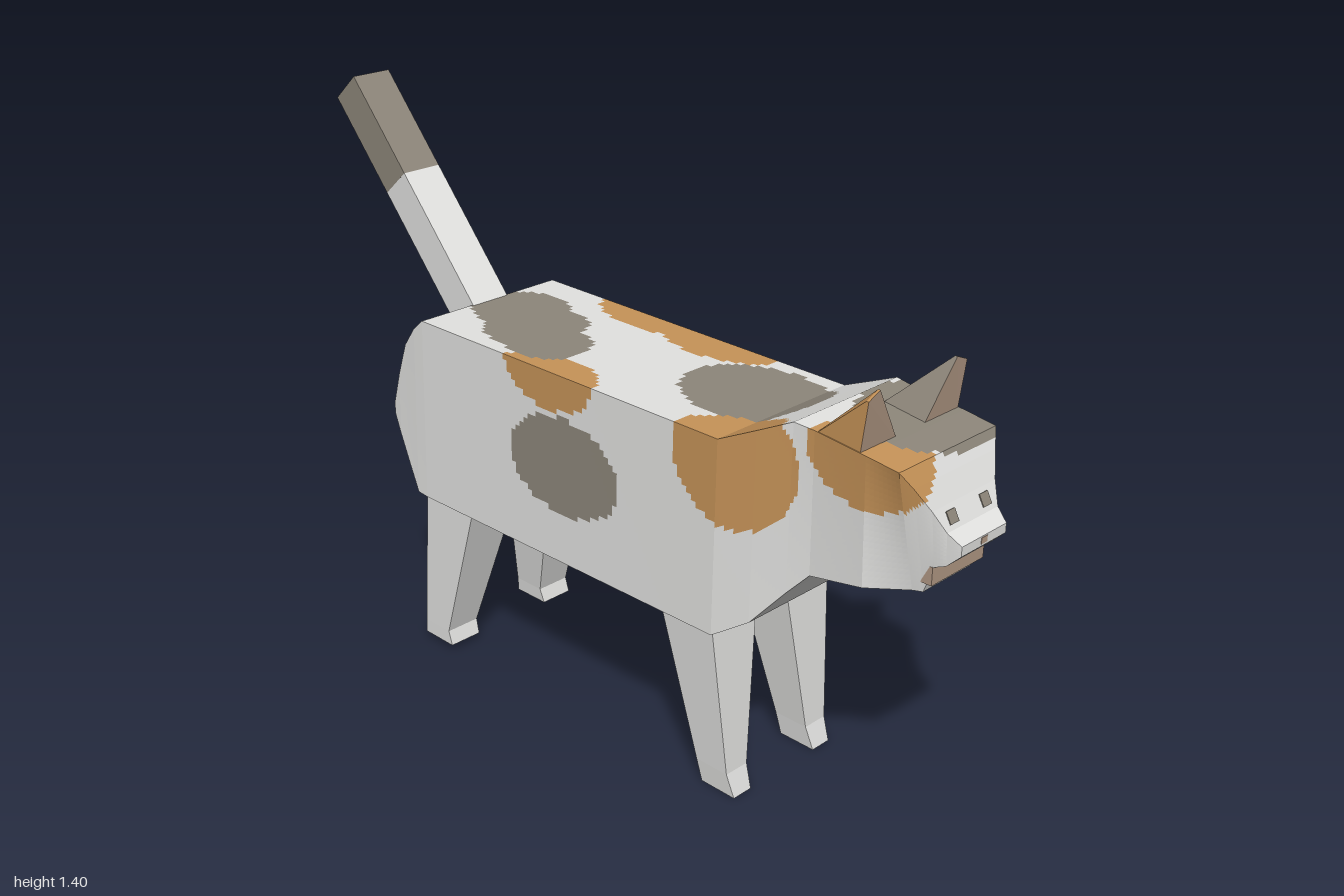
import * as THREE from 'three';

const material = (name, color) => {
  const m = new THREE.MeshStandardMaterial({ color, flatShading: true });
  m.name = name;
  return m;
};

// Lofts four-cornered rings into a closed, flat-faced solid. Each face is split
// into cells no longer than `cell`, and pick(point, face) chooses its material.
function loft(name, rings, materials, pick = () => 0, cell = Infinity) {
  const buckets = materials.map(() => []);
  const quad = (a, b, c, d, face) => {
    const steps = (p, q, r, s) => Math.max(1, Math.ceil(Math.max(p.distanceTo(q), r.distanceTo(s)) / cell));
    const nu = steps(a, b, d, c), nv = steps(a, d, b, c);
    const at = (i, j) => a.clone().lerp(b, i / nu).lerp(d.clone().lerp(c, i / nu), j / nv);
    for (let i = 0; i < nu; i++) for (let j = 0; j < nv; j++) {
      const p = at(i, j), q = at(i + 1, j), r = at(i + 1, j + 1), s = at(i, j + 1);
      const out = buckets[pick(at(i + 0.5, j + 0.5), face)];
      for (const v of [p, q, r, p, r, s]) out.push(v.x, v.y, v.z);
    }
  };
  for (let i = 0; i < rings.length - 1; i++) {
    const s = rings[i], t = rings[i + 1];
    for (let k = 0; k < 4; k++) quad(s[k], t[k], t[(k + 1) % 4], s[(k + 1) % 4], k);
  }
  quad(...rings[0], 4);
  quad(...rings[rings.length - 1].slice().reverse(), 5);

  const geometry = new THREE.BufferGeometry();
  geometry.setAttribute('position', new THREE.Float32BufferAttribute(buckets.flat(), 3));
  let start = 0;
  buckets.forEach((b, i) => {
    if (b.length) geometry.addGroup(start, b.length / 3, i);
    start += b.length / 3;
  });
  geometry.computeVertexNormals();
  const mesh = new THREE.Mesh(geometry, materials);
  mesh.name = name;
  return mesh;
}

const V = (x, y, z) => new THREE.Vector3(x, y, z);
// Upright ring across the body: z, bottom, top, half width at bottom and top
const bodyRing = ([z, y0, y1, w0, w1]) => [V(-w1, y1, z), V(w1, y1, z), V(w0, y0, z), V(-w0, y0, z)];
// Level ring for legs and ears: y, back z, front z, inner x, outer x
const levelRing = (side) => ([y, z0, z1, xi, xo]) => {
  const lo = Math.min(side * xi, side * xo), hi = Math.max(side * xi, side * xo);
  return [V(hi, y, z0), V(hi, y, z1), V(lo, y, z1), V(lo, y, z0)];
};

export function createModel() {
  const white = material('white fur', 0xe2e2e0);
  const orange = material('orange fur', 0xc69358);
  const taupe = material('taupe fur', 0x8d867a);
  const pink = material('pinkish skin', 0xb29985);
  const cat = new THREE.Group();
  cat.name = 'cat';

  // Coat patches as ellipsoids: material index, centre, radii (first match wins)
  const patches = [
    [2, 0.09, 0.97, 0.79, 0.18, 0.07, 0.15],     // head
    [1, -0.16, 0.95, 0.82, 0.13, 0.11, 0.15],
    [1, -0.19, 0.86, 0.5, 0.11, 0.16, 0.16],     // neck
    [2, 0.03, 0.9, 0.37, 0.145, 0.1, 0.195],     // back
    [2, -0.09, 0.9, -0.18, 0.1, 0.08, 0.11],
    [2, -0.035, 0.9, -0.28, 0.13, 0.08, 0.12],
    [2, 0.015, 0.9, -0.39, 0.115, 0.06, 0.13],
    [2, 0.215, 0.68, 0.165, 0.06, 0.06, 0.1],    // left flank
    [1, 0.21, 0.79, -0.12, 0.11, 0.17, 0.23],
    [1, 0.21, 0.85, 0.1, 0.11, 0.15, 0.19],
    [1, -0.21, 0.9, -0.05, 0.085, 0.09, 0.145],  // right flank
    [2, -0.22, 0.68, 0, 0.08, 0.12, 0.18],
    [1, -0.09, 0.74, -0.6, 0.1, 0.06, 0.08],     // rump
    [2, 0.11, 0.68, -0.61, 0.08, 0.07, 0.08],
  ];
  const coat = (p) => {
    const hit = patches.find(([, x, y, z, a, b, c]) =>
      ((p.x - x) / a) ** 2 + ((p.y - y) / b) ** 2 + ((p.z - z) / c) ** 2 < 1);
    return hit ? hit[0] : 0;
  };

  // Body, neck and head in one loft from rump to nose
  const sections = [
    [-0.625, 0.62, 0.65, 0.21, 0.21],
    [-0.6, 0.575, 0.735, 0.215, 0.21],
    [-0.57, 0.515, 0.82, 0.218, 0.21],
    [-0.53, 0.437, 0.873, 0.222, 0.212],
    [-0.495, 0.435, 0.903, 0.223, 0.213],
    [0.47, 0.435, 0.9, 0.215, 0.207],
    [0.56, 0.495, 0.942, 0.195, 0.187],
    [0.64, 0.59, 0.98, 0.172, 0.168],
    [0.69, 0.645, 0.975, 0.158, 0.162],
    [0.82, 0.665, 0.962, 0.15, 0.162],
    [0.9, 0.668, 0.952, 0.09, 0.16],
    [0.92, 0.668, 0.915, 0.08, 0.135],
    [0.945, 0.735, 0.865, 0.085, 0.105],
    [0.97, 0.745, 0.82, 0.08, 0.085],
    [1.0, 0.775, 0.797, 0.075, 0.075],
  ];
  cat.add(loft('body', sections.map(bodyRing), [white, orange, taupe], coat, 0.014));

  const box = (name, mat, size, position, tilt = 0) => {
    const mesh = new THREE.Mesh(new THREE.BoxGeometry(...size), mat);
    mesh.name = name;
    mesh.position.set(...position);
    mesh.rotation.x = tilt;
    cat.add(mesh);
  };

  // Mouth and nose
  box('mouth', pink, [0.175, 0.042, 0.03], [0, 0.714, 0.929]);
  box('nose', pink, [0.02, 0.014, 0.006], [0, 0.787, 0.998]);

  for (const side of [1, -1]) {
    const which = side > 0 ? 'left' : 'right';
    const ring = levelRing(side);

    box(which + 'Eye', taupe, [0.028, 0.028, 0.006], [side * 0.055, 0.842, 0.957], -0.5);

    // Ears: thin slanted top edge, skin on the front face only
    const tip = ring([1.09, 0.812, 0.818, 0.125, 0.16]);
    tip.forEach((v) => { if (Math.abs(v.x) > 0.15) v.y = 1.075; });
    cat.add(loft(which + 'Ear', [ring([0.95, 0.67, 0.803, 0.04, 0.16]), tip],
      [side > 0 ? taupe : orange, pink], (p, face) => (face === 1 ? 1 : 0)));

    // Legs, from sole to hip
    cat.add(loft(which + 'FrontLeg', [
      [0.003, 0.408, 0.508, 0.11, 0.167],
      [0.06, 0.395, 0.488, 0.104, 0.172],
      [0.45, 0.297, 0.455, 0.05, 0.197],
    ].map(ring), [white]));
    cat.add(loft(which + 'BackLeg', [
      [0.018, -0.547, -0.443, 0.115, 0.206],
      [0.055, -0.545, -0.455, 0.112, 0.206],
      [0.45, -0.522, -0.342, 0.055, 0.2],
    ].map(ring), [white]));
  }

  // Tail: straight square rod with a taupe end
  const base = V(0, 0.845, -0.505), split = V(0, 1.155, -0.778), end = V(0, 1.367, -0.965);
  const rod = (name, mat, a, b) =>
    box(name, mat, [0.11, a.distanceTo(b), 0.1], a.clone().lerp(b, 0.5).toArray(),
      Math.atan2(b.z - a.z, b.y - a.y));
  rod('tail', white, base, split);
  rod('tailTip', taupe, split, end);

  return cat;
}
